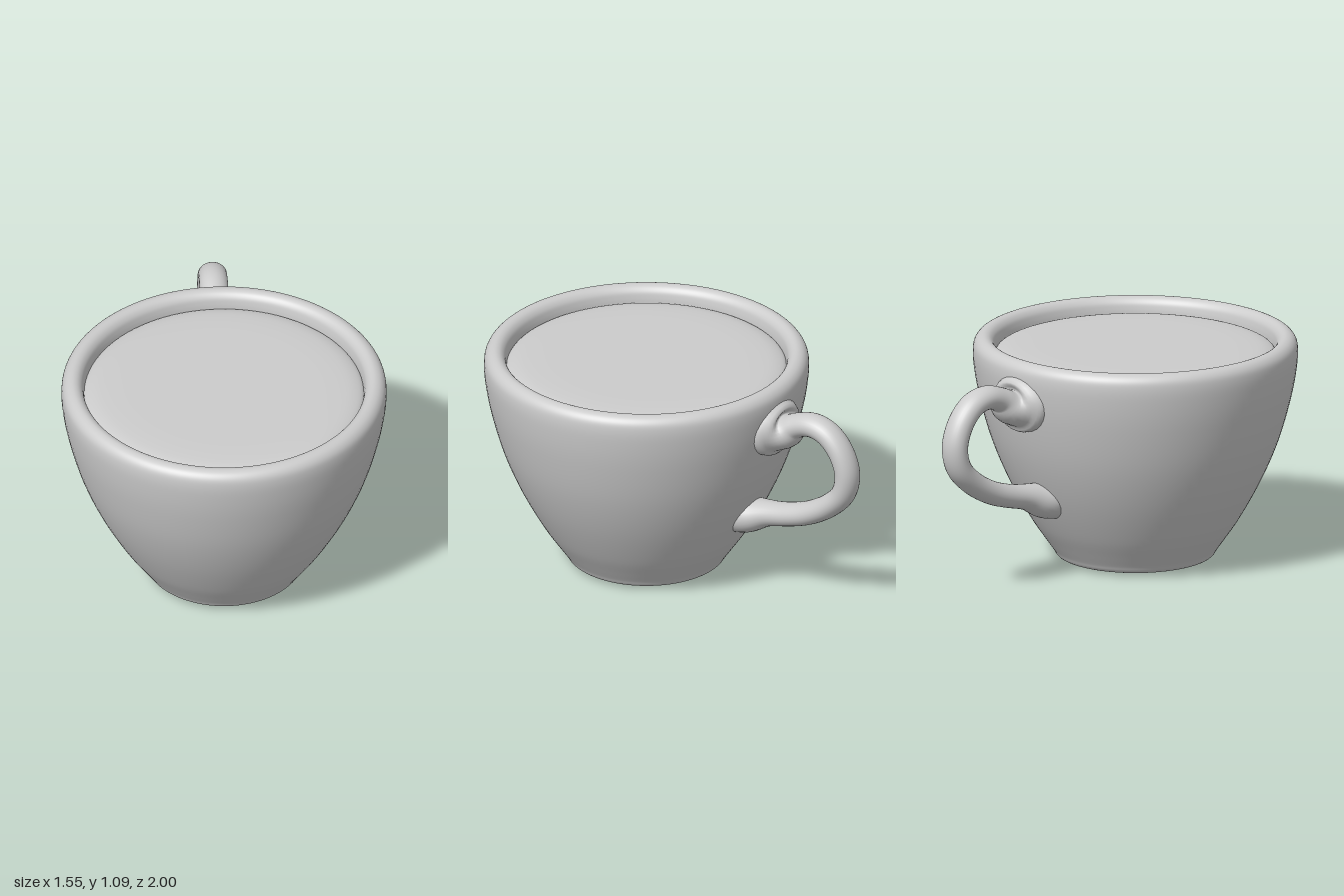
import * as THREE from 'three';

const grey = new THREE.MeshStandardMaterial({ color: 0xcccccc });

// Smooth lathe through a few profile points [radius, height]
function turned(name, profile, steps) {
  const curve = new THREE.CatmullRomCurve3(profile.map(([r, y]) => new THREE.Vector3(r, y, 0)));
  const pts = curve.getPoints(profile.length * steps).map(p => new THREE.Vector2(Math.max(p.x, 0), p.y));
  const mesh = new THREE.Mesh(new THREE.LatheGeometry(pts, 96), grey);
  mesh.name = name;
  mesh.position.z = 0.22;
  return mesh;
}

// Handle: tube along a curve in the z-y plane, flared where it meets the cup
function makeHandle() {
  const path = [
    [-0.47, 0.89], [-0.55, 0.895], [-0.60, 0.895], [-0.65, 0.93], [-0.74, 0.957], [-0.83, 0.935],
    [-0.905, 0.86], [-0.943, 0.75], [-0.92, 0.645], [-0.84, 0.56], [-0.72, 0.488],
    [-0.61, 0.45], [-0.48, 0.42], [-0.40, 0.395], [-0.30, 0.375],
  ];
  const curve = new THREE.CatmullRomCurve3(path.map(([z, y]) => new THREE.Vector3(0, y, z)));
  const length = curve.getLength(), rings = 120, sides = 28;
  const geo = new THREE.TubeGeometry(curve, rings, 1, sides);
  const pos = geo.attributes.position;
  const v = new THREE.Vector3();
  const bump = (d, width) => Math.exp(-((Math.max(d, 0) / width) ** 2));
  for (let i = 0; i <= rings; i++) {
    const centre = curve.getPointAt(i / rings);
    const d = (i / rings) * length;
    const radius = 0.057 + 0.085 * bump(d - 0.05, 0.08) + 0.034 * bump(length - d - 0.05, 0.11);
    for (let j = 0; j <= sides; j++) {
      const k = i * (sides + 1) + j;
      v.fromBufferAttribute(pos, k).sub(centre).multiplyScalar(radius);
      v.x *= 1.2; // slightly wider than thick
      v.add(centre);
      pos.setXYZ(k, v.x, v.y, v.z);
    }
  }
  // smooth normals, averaged over the lengthwise seam
  geo.computeVertexNormals();
  const n = geo.attributes.normal, m = new THREE.Vector3();
  for (let i = 0; i <= rings; i++) {
    const a = i * (sides + 1), b = a + sides;
    v.fromBufferAttribute(n, a).add(m.fromBufferAttribute(n, b)).normalize();
    n.setXYZ(a, v.x, v.y, v.z);
    n.setXYZ(b, v.x, v.y, v.z);
  }
  const mesh = new THREE.Mesh(geo, grey);
  mesh.name = 'handle';
  return mesh;
}

export function createModel() {
  const cup = new THREE.Group();
  cup.name = 'cup';

  // Body: base, flaring wall, rounded rim, inside wall and floor
  cup.add(turned('body', [
    [0, 0], [0.25, 0.004], [0.345, 0.011], [0.375, 0.024], [0.392, 0.05],
    [0.427, 0.1], [0.495, 0.2], [0.605, 0.4], [0.688, 0.6], [0.744, 0.8],
    [0.768, 0.93], [0.775, 1.02], [0.768, 1.062], [0.748, 1.086], [0.72, 1.095],
    [0.696, 1.088], [0.678, 1.068], [0.67, 1.04], [0.665, 1.0],
    [0.63, 0.8], [0.5, 0.4], [0.3, 0.15], [0, 0.12],
  ], 5));

  // Drink: nearly flat surface with a softened edge
  cup.add(turned('drink', [
    [0.672, 1.0], [0.66, 1.018], [0.62, 1.034], [0.54, 1.043], [0.3, 1.046], [0, 1.046],
  ], 5));

  cup.add(makeHandle());
  return cup;
}
